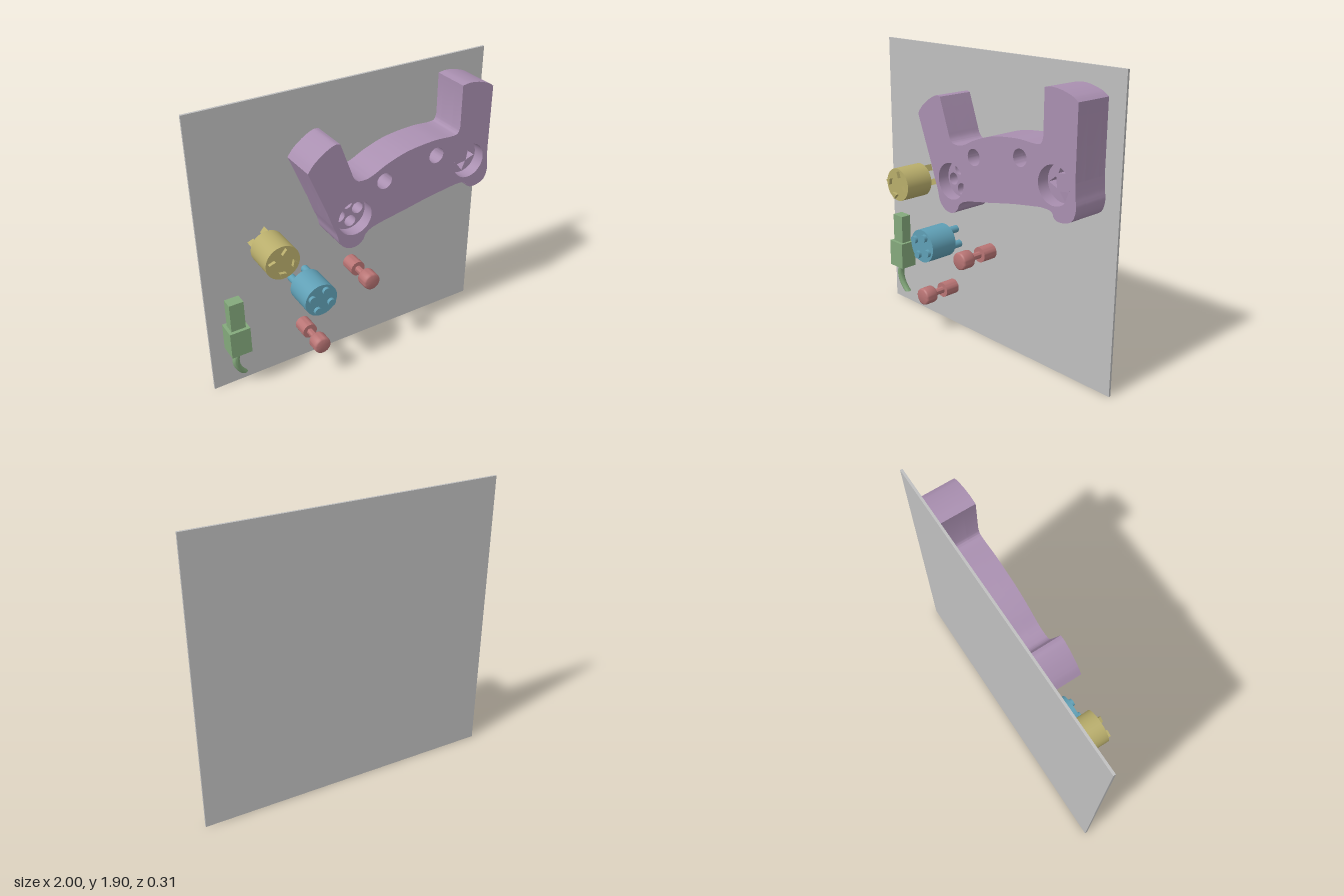
import * as THREE from 'three';
import { toCreasedNormals } from 'three/addons/utils/BufferGeometryUtils.js';

const material = (name, color) => {
  const m = new THREE.MeshStandardMaterial({ color });
  m.name = name;
  return m;
};

export function createModel() {
  const model = new THREE.Group();
  const grey = material('panel grey', 0xbfbfbf);
  const purple = material('body purple', 0xa98fb0);
  const yellow = material('plug yellow', 0xb8ad6b);
  const blue = material('plug blue', 0x5f9fb5);
  const green = material('connector green', 0x84a97c);
  const red = material('peg red', 0xb87474);

  const add = (name, geometry, mat, parent = model) => {
    const mesh = new THREE.Mesh(geometry, mat);
    mesh.name = name;
    parent.add(mesh);
    return mesh;
  };
  const box = (name, mat, x0, x1, y0, y1, z0, z1) =>
    add(name, new THREE.BoxGeometry(x1 - x0, y1 - y0, z1 - z0), mat)
      .position.set((x0 + x1) / 2, (y0 + y1) / 2, (z0 + z1) / 2);
  const extrude = (shape, z0, z1) => toCreasedNormals(
    new THREE.ExtrudeGeometry(shape, { depth: z1 - z0, bevelEnabled: false, curveSegments: 6 })
      .translate(0, 0, z0), 0.6);
  // Cylinder lying along z
  const rod = (r, x, y, z0, z1, sides = 40) =>
    new THREE.CylinderGeometry(r, r, z1 - z0, sides).rotateX(Math.PI / 2).translate(x, y, (z0 + z1) / 2);
  const ring = (x, y, dist, degrees) => degrees.map(d => {
    const a = THREE.MathUtils.degToRad(d);
    return [x + dist * Math.cos(a), y + dist * Math.sin(a), a];
  });
  const circle = (x, y, r, n = 40) => new THREE.Shape(Array.from({ length: n }, (_, i) =>
    new THREE.Vector2(x + r * Math.cos(i * 2 * Math.PI / n), y + r * Math.sin(i * 2 * Math.PI / n))));
  // Triangle with one corner pointing along angle a
  const triangle = (x, y, r, a) => new THREE.Shape([0, 1, 2].map(i => {
    const t = a + i * 2 * Math.PI / 3;
    return new THREE.Vector2(x + r * Math.cos(t), y + r * Math.sin(t));
  }));

  // Backing panel
  box('panel', grey, -1, 1, 0, 1.9, -0.155, -0.14);

  // Body outline: two grips joined by an arched bridge
  const outline = () => {
    const s = new THREE.Shape();
    const spline = pts => s.splineThru(pts.map(p => new THREE.Vector2(...p)));
    s.moveTo(-0.4, 1.5);
    spline([[-0.365, 1.545], [-0.31, 1.59], [-0.26, 1.62], [-0.22, 1.635], [-0.19, 1.63]]);
    s.lineTo(-0.118, 1.43);
    spline([[-0.1, 1.385], [-0.065, 1.36], [0.01, 1.365], [0.13, 1.42], [0.275, 1.465], [0.46, 1.485],
      [0.595, 1.48], [0.64, 1.49], [0.655, 1.53]]);
    s.lineTo(0.655, 1.795);
    spline([[0.71, 1.802], [0.78, 1.793], [0.85, 1.77], [0.888, 1.745]]);
    s.lineTo(0.888, 1.32);
    spline([[0.893, 1.24], [0.9, 1.18], [0.885, 1.12], [0.85, 1.09], [0.79, 1.078], [0.75, 1.09],
      [0.735, 1.118], [0.71, 1.13], [0.65, 1.133]]);
    spline([[0.435, 1.1], [0.25, 1.063], [0.115, 1.038], [0.025, 1.015], [-0.02, 0.985], [-0.042, 0.945],
      [-0.09, 0.917], [-0.15, 0.925], [-0.2, 0.97], [-0.22, 1.04], [-0.245, 1.1]]);
    s.lineTo(-0.28, 1.2);
    return s;
  };

  // Body in three layers: solid back, pin sockets, wide plug recesses
  const body = new THREE.Group();
  body.name = 'body';
  model.add(body);
  const pegHoles = () => [circle(0.11, 1.31, 0.052), circle(0.485, 1.38, 0.052)];
  const front = outline(), middle = outline();
  front.holes.push(...pegHoles(), circle(-0.095, 1.12, 0.115), circle(0.74, 1.275, 0.115));
  middle.holes.push(...pegHoles(),
    ...ring(-0.095, 1.12, 0.065, [100, 190, 280, 10]).map(([x, y]) => circle(x, y, 0.038, 24)),
    ...ring(0.74, 1.275, 0.07, [98, 188, 278, 350]).map(([x, y, a]) => triangle(x, y, 0.038, a)));
  add('bodyBack', extrude(outline(), -0.14, -0.09), purple, body);
  add('bodySockets', extrude(middle, -0.09, 0.025), purple, body);
  add('bodyFront', extrude(front, 0.025, 0.105), purple, body);

  // Round plug with triangular prongs running right through it
  add('yellowPlug', rod(0.11, -0.597, 0.995, -0.065, 0.133), yellow);
  for (const [x, y, a] of ring(-0.597, 0.995, 0.073, [168, 78, -15, -100]))
    add('trianglePin', extrude(triangle(x, y, 0.025, a), -0.14, 0.155), yellow);

  // Round plug with cylindrical pins
  add('bluePlug', rod(0.11, -0.355, 0.63, -0.062, 0.133), blue);
  for (const [x, y] of ring(-0.355, 0.63, 0.071, [64, 154, 244, -26]))
    add('roundPin', rod(0.025, x, y, -0.14, 0.155, 24), blue);

  // Two waisted pegs with rounded heads
  const pegProfile = [[0, -0.14], [0.05, -0.14], [0.05, -0.035], [0.022, -0.035], [0.022, 0.05],
    [0.047, 0.05], [0.054, 0.053], [0.057, 0.06], [0.057, 0.127], [0.054, 0.136], [0.046, 0.14], [0, 0.14]];
  const pegGeometry = toCreasedNormals(new THREE.LatheGeometry(
    pegProfile.map(p => new THREE.Vector2(...p)), 36).rotateX(Math.PI / 2), 0.9);
  for (const [x, y] of [[0.01, 0.63], [-0.355, 0.27]])
    add('peg', pegGeometry, red).position.set(x, y, 0);

  // Cable connector: housing, tip and a bent cable
  box('connectorHousing', green, -0.905, -0.77, 0.3, 0.485, -0.14, -0.02);
  box('connectorTip', green, -0.885, -0.79, 0.485, 0.68, -0.115, -0.042);
  const cable = new THREE.CylinderGeometry(0.023, 0.023, 0.2, 20, 12).translate(0, 0.2, 0);
  const p = cable.attributes.position;
  for (let i = 0; i < p.count; i++) {
    const t = (0.3 - p.getY(i)) / 0.2;
    p.setX(i, p.getX(i) - 0.842 + 0.139 * t * t - 0.107 * t);
    p.setZ(i, p.getZ(i) - 0.075 - 0.018 * t * t);
  }
  add('cable', toCreasedNormals(cable, 0.7), green);

  return model;
}
